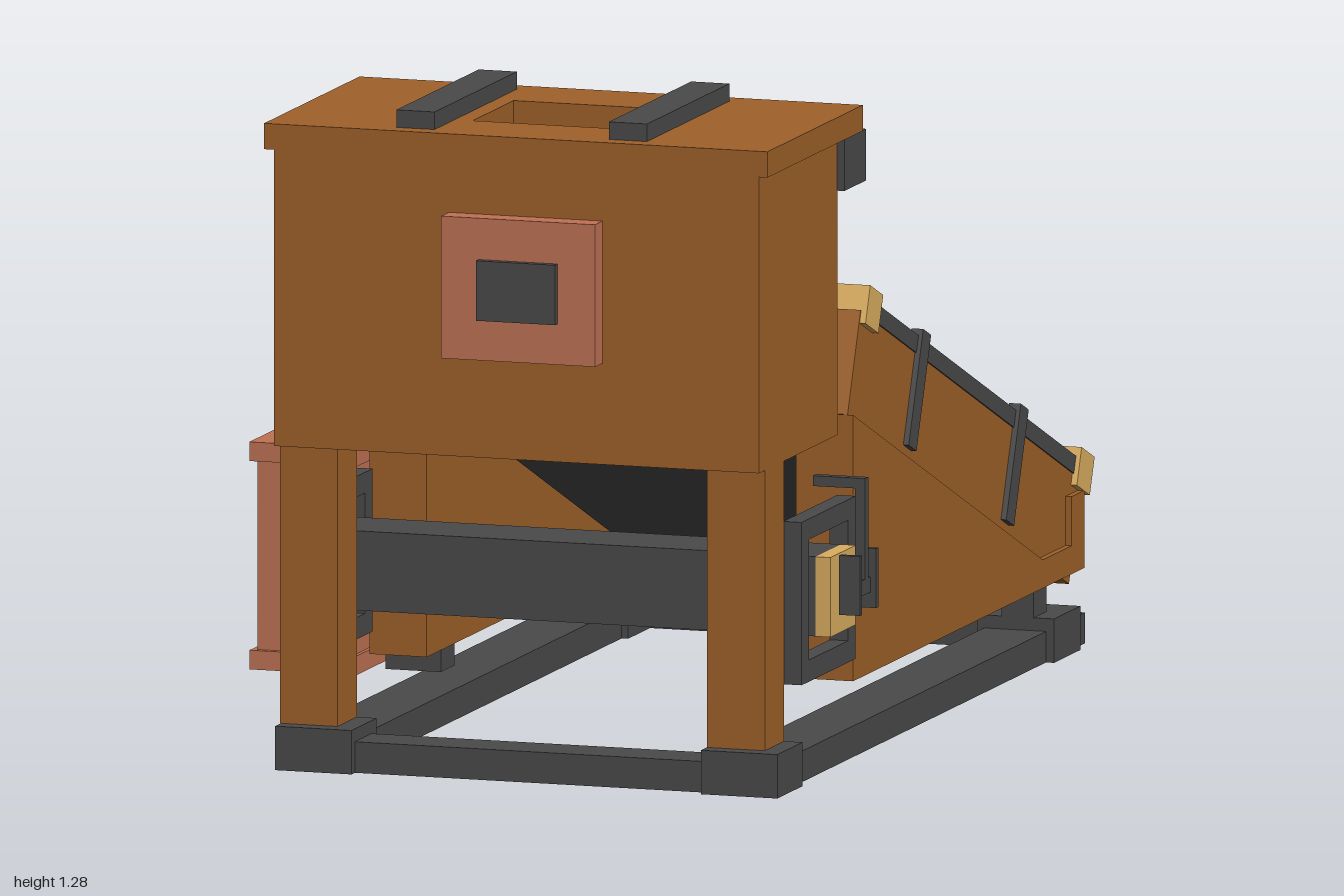
import * as THREE from 'three';

const mat = (name, color) => {
  const m = new THREE.MeshStandardMaterial({ color });
  m.name = name;
  return m;
};

export function createModel() {
  const wood = mat('brown wood', 0x9f612a);
  const iron = mat('dark iron', 0x4a4a4a);
  const brass = mat('pale brass', 0xdbae60);
  const copper = mat('copper red', 0xc07254);
  const blue = mat('water blue', 0x385cb0);
  blue.side = THREE.DoubleSide;
  const model = new THREE.Group();
  model.name = 'sluiceMachine';
  const CX = 0.084; // middle of the sluice and base

  const add = (parent, name, geo, m) => {
    const mesh = new THREE.Mesh(geo, m);
    mesh.name = name;
    parent.add(mesh);
    return mesh;
  };
  // Box given by its limits on each axis
  const box = (name, m, x0, x1, y0, y1, z0, z1, parent = model) => {
    const mesh = add(parent, name, new THREE.BoxGeometry(x1 - x0, y1 - y0, z1 - z0), m);
    mesh.position.set((x0 + x1) / 2, (y0 + y1) / 2, (z0 + z1) / 2);
  };
  // Pair of boxes at equal distances a..b either side of the middle
  const pair = (name, m, a, b, y0, y1, z0, z1, parent = model) => {
    box(name, m, CX + a, CX + b, y0, y1, z0, z1, parent);
    box(name, m, CX - b, CX - a, y0, y1, z0, z1, parent);
  };
  const rect = (Type, u0, u1, v0, v1) => new Type([[u0, v0], [u1, v0], [u1, v1], [u0, v1]]
    .map(([u, v]) => new THREE.Vector2(u, v)));
  // Rectangular plate with a rectangular hole; limits are [u0, u1, v0, v1]
  const plate = (outer, inner, depth) => {
    const s = rect(THREE.Shape, ...outer);
    s.holes.push(rect(THREE.Path, ...inner));
    return new THREE.ExtrudeGeometry(s, { depth, bevelEnabled: false });
  };
  // Plate facing z, from z0
  const plateZ = (name, m, outer, inner, z0, depth) => {
    add(model, name, plate(outer, inner, depth), m).position.z = z0;
  };
  // Plate facing x, drawn in (z, y), reaching inward from x1
  const plateX = (name, m, outer, inner, x1, depth) => {
    add(model, name, plate(outer, inner, depth).rotateY(-Math.PI / 2), m).position.x = x1;
  };

  // Base frame
  pair('baseRail', iron, 0.365, 0.49, 0, 0.06, -0.93, 0.92);
  box('baseFrontRail', iron, CX - 0.4, CX + 0.4, 0, 0.06, 0.82, 0.92);
  box('baseRearRail', iron, CX - 0.49, CX + 0.47, 0, 0.06, -0.93, -0.83);
  pair('frontFoot', iron, 0.352, 0.506, 0, 0.085, 0.79, 0.94);
  pair('rearFoot', iron, 0.352, 0.506, 0, 0.085, -0.857, -0.70);
  pair('rearPost', iron, 0.4, 0.465, 0.085, 0.15, -0.776, -0.70);

  // Hopper on two legs, open below
  for (const x of [-0.424, 0.437]) box('hopperLeg', wood, x, x + 0.116, 0.085, 0.627, 0.79, 0.905);
  box('hopperFront', wood, -0.424, 0.553, 0.627, 1.2, 0.9, 0.94);
  box('hopperSide', wood, -0.424, -0.384, 0.627, 1.2, 0.475, 0.9);
  box('hopperSide', wood, 0.513, 0.553, 0.627, 1.2, 0.475, 0.9);
  plateZ('hopperBack', wood, [-0.384, 0.513, 0.627, 1.2], [-0.16, 0.27, 0.74, 0.88], 0.475, 0.04);
  const lid = plate([-0.444, 0.57, -0.94, -0.374], [-0.077, 0.198, -0.783, -0.54], 0.05);
  add(model, 'hopperLid', lid.rotateX(-Math.PI / 2), wood).position.y = 1.2;
  for (const x of [-0.19, 0.238]) box('lidStrap', iron, x, x + 0.077, 1.25, 1.284, 0.415, 0.903);
  for (const x of [-0.449, 0.46]) box('lidBracket', iron, x, x + 0.108, 1.1, 1.2, 0.35, 0.478);

  // Hopper outlet: frame, gate, inner tray and chute
  plateZ('outletFrame', brass, [-0.2, 0.312, 0.70, 1.16], [-0.155, 0.267, 0.74, 1.12], 0.455, 0.02);
  box('outletGate', iron, -0.13, 0.22, 0.87, 1.11, 0.457, 0.474);
  box('outletTray', iron, -0.113, 0.235, 0.70, 0.75, 0.443, 0.656);
  const chute = new THREE.PlaneGeometry(0.348, 0.28).rotateX(-Math.PI / 2 - 0.478);
  add(model, 'chute', chute, blue).position.set(0.061, 0.786, 0.39);

  // Front plate and side vent of the hopper
  box('frontPlate', copper, -0.072, 0.238, 0.823, 1.098, 0.94, 0.985);
  box('frontPlateBoss', iron, 0.003, 0.163, 0.902, 1.018, 0.985, 1);
  plateX('sideVentFrame', iron, [0.54, 0.82, 0.78, 1.06], [0.59, 0.77, 0.83, 1.01], -0.424, 0.016);
  box('sideVentKnob', brass, -0.472, -0.424, 0.903, 0.96, 0.65, 0.71);

  // Square axle with its bearing frames and crank
  box('axle', iron, -0.463, 0.587, 0.276, 0.43, 0.555, 0.705);
  for (const x of [0.588, -0.385]) {
    plateX('bearingFrame', iron, [0.47, 0.79, 0.195, 0.51], [0.515, 0.745, 0.237, 0.47], x, 0.037);
  }
  box('axleCap', brass, 0.587, 0.617, 0.276, 0.43, 0.555, 0.705);
  box('crankArm', iron, 0.55, 0.655, 0.55, 0.57, 0.592, 0.612);
  box('crankDrop', iron, 0.635, 0.655, 0.36, 0.57, 0.592, 0.612);
  box('crankGrip', iron, 0.635, 0.655, 0.345, 0.375, 0.575, 0.67);
  for (const z of [0.568, 0.664]) box('crankEnd', iron, 0.625, 0.667, 0.315, 0.43, z, z + 0.012);

  // Lower sluice panels, drawn in (z, y)
  const panel = new THREE.Shape([[-0.937, 0.145], [0.435, 0.145], [0.435, 0.66], [-0.69, 0.2],
    [-0.86, 0.2], [-0.86, 0.295], [-0.937, 0.295]].map(([z, y]) => new THREE.Vector2(z, y)));
  for (const x of [CX - 0.372, CX + 0.487]) {
    const g = new THREE.ExtrudeGeometry(panel, { depth: 0.115, bevelEnabled: false });
    add(model, 'lowerPanel', g.rotateY(-Math.PI / 2), wood).position.x = x;
  }
  box('rearBoard', wood, CX - 0.372, CX + 0.372, 0.145, 0.295, -0.937, -0.86);
  plateZ('rearGateFrame', iron, [-0.209, 0.38, 0.12, 0.29], [-0.18, 0.35, 0.15, 0.26], -0.967, 0.018);
  box('rearGatePanel', iron, -0.19, 0.36, 0.14, 0.27, -0.952, -0.937);

  // Sloped bed: z runs up the slope, y stands off it
  const bed = new THREE.Group();
  bed.name = 'slopedBed';
  bed.position.set(0, 0.2, -0.69);
  bed.rotation.x = -0.389;
  model.add(bed);
  pair('slopedBoard', wood, 0.352, 0.475, 0, 0.205, -0.205, 1.213, bed);
  box('bedTray', iron, CX - 0.352, CX + 0.352, -0.014, 0.083, -0.238, 1.205, bed);
  box('bedSheet', blue, CX - 0.335, CX + 0.335, 0.083, 0.091, -0.2, 1.2, bed);
  for (let i = 0; i < 7; i++) {
    const x = CX + (i - 3) * 0.1145;
    box('lengthBar', iron, x - 0.01, x + 0.01, 0.085, 0.111, -0.2, 1.2, bed);
  }
  for (let k = 0; k < 12; k++) {
    const w = -0.135 + k * 0.121;
    box('riffleBar', iron, CX - 0.343, CX + 0.343, 0.085, 0.113, w - 0.013, w + 0.013, bed);
  }
  pair('topRail', iron, 0.343, 0.478, 0.203, 0.237, -0.15, 1.13, bed);
  for (const w of [-0.227, 1.127]) pair('railCap', brass, 0.335, 0.487, 0.18, 0.255, w, w + 0.083, bed);
  for (const w of [0.19, 0.815]) pair('sideStrap', iron, 0.462, 0.486, 0.022, 0.25, w, w + 0.05, bed);

  // Pump tank with its pipe into the sluice
  box('tankBody', copper, -0.658, -0.463, 0.125, 0.493, 0.075, 0.35);
  for (const y of [0.089, 0.492]) box('tankFlange', copper, -0.67, -0.455, y, y + 0.037, 0.065, 0.362);
  box('tankNeck', copper, -0.602, -0.524, 0.529, 0.605, 0.155, 0.27);
  box('pipeRiser', iron, -0.593, -0.533, 0.605, 0.8, 0.19, 0.25);
  box('pipeOutlet', iron, -0.533, -0.46, 0.747, 0.8, 0.19, 0.25);
  box('pipeCollar', brass, -0.46, -0.404, 0.73, 0.82, 0.175, 0.265);
  box('tankBracket', iron, -0.424, -0.312, 0.09, 0.15, 0.2, 0.28);
  return model;
}
